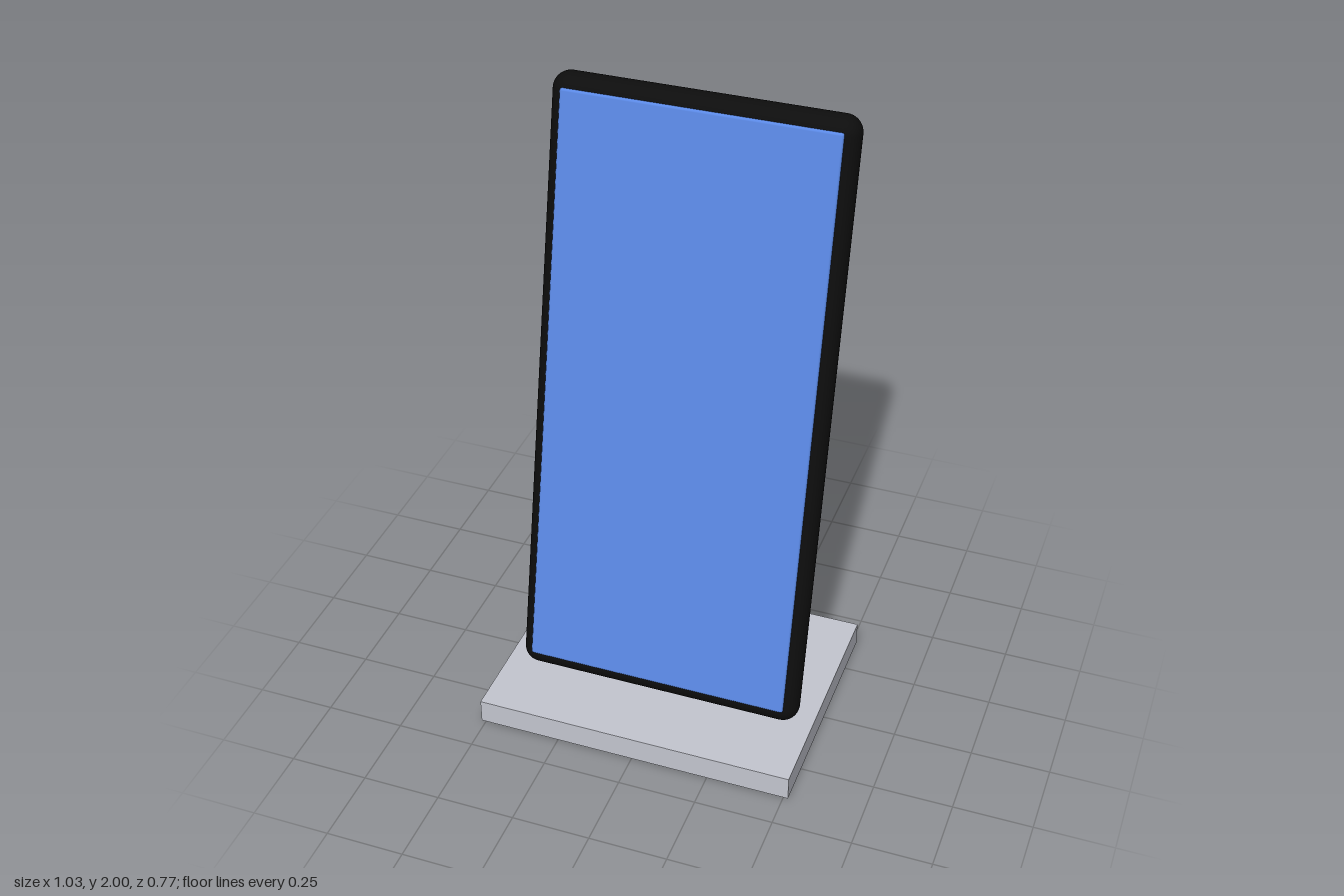
import * as THREE from 'three';
import { RoundedBoxGeometry } from 'three/addons/geometries/RoundedBoxGeometry.js';

const material = (name, color) => {
  const m = new THREE.MeshStandardMaterial({ color });
  m.name = name;
  return m;
};

export function createModel() {
  const black = material('black casing', 0x0d0d0d);
  const blue = material('blue screen', 0x5a88e4);
  const grey = material('light grey base', 0xc4c6d0);

  const model = new THREE.Group();
  model.name = 'phoneOnStand';

  const add = (parent, name, geometry, mat, x, y, z) => {
    const mesh = new THREE.Mesh(geometry, mat);
    mesh.name = name;
    mesh.position.set(x, y, z);
    parent.add(mesh);
  };

  // Flat base slab
  add(model, 'base', new THREE.BoxGeometry(1.03, 0.08, 0.775), grey, 0, 0.04, 0);

  // Phone leaning back 12 degrees
  const phone = new THREE.Group();
  phone.name = 'phone';
  phone.position.set(0, 1.04, -0.073);
  phone.rotation.x = -THREE.MathUtils.degToRad(12);
  model.add(phone);

  add(phone, 'body', new RoundedBoxGeometry(0.93, 1.961, 0.108, 6, 0.0535), black, 0, 0, 0);

  // Slightly raised screen with softened edges
  add(phone, 'screen', new RoundedBoxGeometry(0.852, 1.87, 0.02, 3, 0.008), blue, 0, 0.004, 0.05);

  // Raised camera block on the back, toward the model's left
  add(phone, 'cameraBlock', new RoundedBoxGeometry(0.335, 0.33, 0.04, 4, 0.012), black, 0.207, 0.7, -0.058);

  return model;
}
